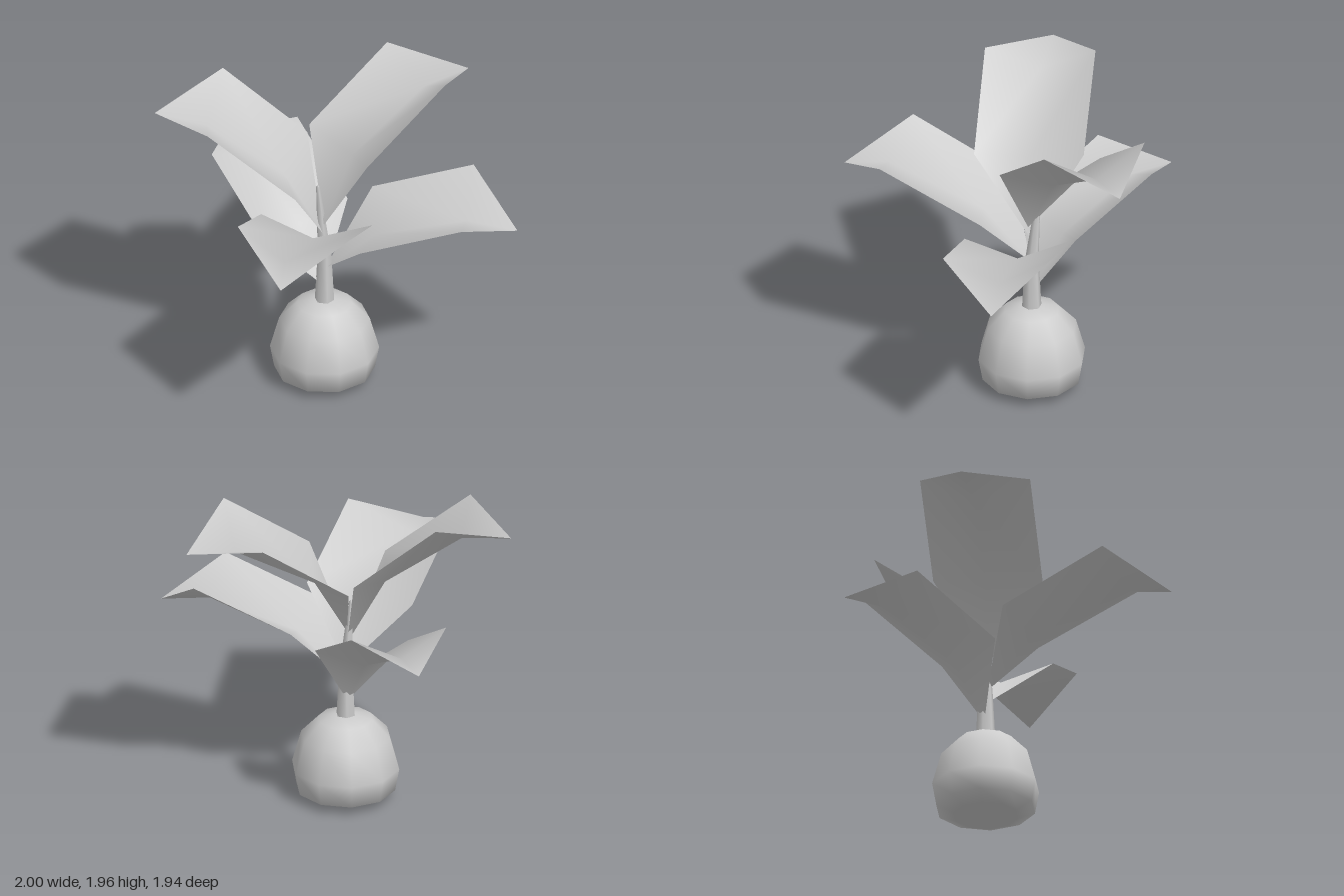
import * as THREE from 'three';

const material = new THREE.MeshStandardMaterial({ color: 0xcccccc, side: THREE.DoubleSide });
const CX = -0.05, CZ = -0.04;

// Leaf folded along its midrib: base, left/rib/right at two stations, tip
function makeLeaf(points) {
  const geometry = new THREE.BufferGeometry();
  geometry.setAttribute('position', new THREE.Float32BufferAttribute(points.flat(), 3));
  const index = [0, 2, 1, 0, 3, 2]; // fan from the base
  for (const i of [1, 2]) index.push(i, i + 1, i + 4, i, i + 4, i + 3); // middle strips
  index.push(4, 5, 7, 5, 6, 7); // fan to the tip
  geometry.setIndex(index);
  geometry.computeVertexNormals();
  return new THREE.Mesh(geometry, material);
}

// Each leaf: base, left1, rib1, right1, left2, rib2, right2, tip
const leaves = {
  upperRightLeaf: [[-0.06, 1.07, -0.02], [-0.02, 1.51, -0.45], [0.15, 1.46, -0.13], [0.14, 1.57, 0.2],
    [0.51, 1.9, -0.6], [0.64, 1.76, -0.28], [0.67, 1.96, 0.05], [0.94, 1.79, -0.35]],
  upperLeftLeaf: [[-0.06, 1.0, -0.03], [-0.32, 1.46, 0.25], [-0.28, 1.42, -0.09], [-0.06, 1.52, -0.36],
    [-0.81, 1.89, 0.07], [-0.72, 1.76, -0.25], [-0.53, 1.95, -0.54], [-1, 1.81, -0.39]],
  backLeaf: [[-0.06, 0.63, -0.05], [-0.42, 1.01, -0.06], [-0.14, 0.95, -0.25], [0.16, 1.07, -0.26],
    [-0.59, 1.33, -0.57], [-0.31, 1.2, -0.7], [0, 1.37, -0.76], [-0.38, 1.21, -0.97]],
  frontLeaf: [[-0.05, 0.84, -0.03], [0.14, 1.24, 0.32], [-0.2, 1.15, 0.22], [-0.45, 1.22, -0.02],
    [-0.17, 1.52, 0.86], [-0.53, 1.35, 0.72], [-0.76, 1.52, 0.52], [-0.63, 1.32, 0.97]],
  lowerRightLeaf: [[-0.05, 0.76, -0.03], [0.3, 1.16, -0.21], [0.22, 1.03, 0.11], [0.04, 1.1, 0.39],
    [0.85, 1.37, 0.05], [0.72, 1.17, 0.33], [0.59, 1.31, 0.65], [1, 1.12, 0.45]],
};

export function createModel() {
  const model = new THREE.Group();
  model.name = 'pottedPlant';

  // Rounded bulb-shaped pot
  const profile = [[0, 0], [0.2, 0.02], [0.3, 0.06], [0.325, 0.2], [0.27, 0.4], [0.165, 0.51], [0.06, 0.535], [0, 0.535]];
  const pot = new THREE.Mesh(new THREE.LatheGeometry(profile.map(p => new THREE.Vector2(...p)), 10), material);
  pot.position.set(CX, 0, CZ);
  pot.name = 'pot';
  model.add(pot);

  // Tapering stem that leans slightly backwards
  const stemProfile = [[0.062, 0.48], [0.042, 0.85], [0.026, 1.08], [0.012, 1.3], [0, 1.31]];
  const stemGeometry = new THREE.LatheGeometry(stemProfile.map(p => new THREE.Vector2(...p)), 6);
  const position = stemGeometry.attributes.position;
  for (let i = 0; i < position.count; i++) {
    const lean = Math.max(0, position.getY(i) - 0.85) / 0.45;
    position.setX(i, position.getX(i) - 0.025 * lean);
    position.setZ(i, position.getZ(i) - 0.05 * lean);
  }
  const stem = new THREE.Mesh(stemGeometry, material);
  stem.position.set(CX, 0, CZ);
  stem.name = 'stem';
  model.add(stem);

  for (const [name, points] of Object.entries(leaves)) {
    const leaf = makeLeaf(points);
    leaf.name = name;
    model.add(leaf);
  }
  return model;
}
